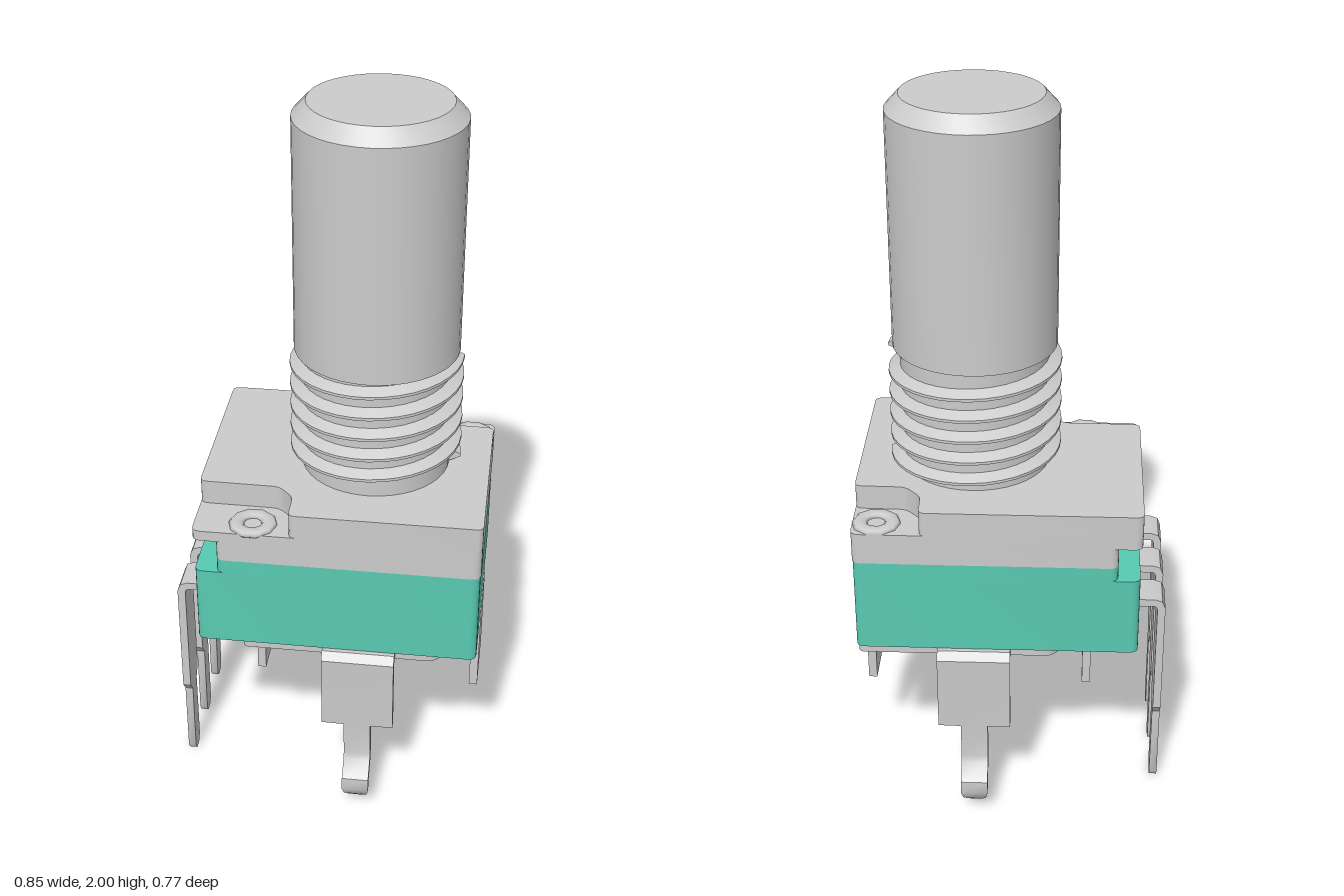
import * as THREE from 'three';
import { toCreasedNormals } from 'three/addons/utils/BufferGeometryUtils.js';

const metal = new THREE.MeshStandardMaterial({ color: 0xcccccc });
const green = new THREE.MeshStandardMaterial({ color: 0x58cab2 });
const V = (x, y, z) => new THREE.Vector3(x, y, z);

// Horizontal slab from an [x, z] outline with rounded corners
function slab(points, y0, y1, r = 0.025) {
  const pts = points.map(([x, z]) => new THREE.Vector2(x, -z));
  const shape = new THREE.Shape();
  const n = pts.length;
  const toward = (p, q) => q.clone().sub(p).setLength(r).add(p);
  pts.forEach((p, i) => {
    const a = toward(p, pts[(i + n - 1) % n]);
    const b = toward(p, pts[(i + 1) % n]);
    if (i === 0) shape.moveTo(a.x, a.y);
    else shape.lineTo(a.x, a.y);
    shape.quadraticCurveTo(p.x, p.y, b.x, b.y);
  });
  shape.closePath();
  const g = new THREE.ExtrudeGeometry(shape, { depth: y1 - y0, bevelEnabled: false, curveSegments: 5 });
  g.rotateX(-Math.PI / 2).translate(0, y0, 0);
  return toCreasedNormals(g, 0.6);
}

const rect = (x0, x1, z) => [[x0, z], [x1, z], [x1, -z], [x0, -z]];

// Solid through a row of four-cornered rings, capped at both ends
function loft(rings) {
  const index = [];
  for (let i = 0; i < rings.length - 1; i++) {
    for (let k = 0; k < 4; k++) {
      const a = i * 4 + k, b = i * 4 + (k + 1) % 4;
      index.push(a, b, b + 4, a, b + 4, a + 4);
    }
  }
  const e = (rings.length - 1) * 4;
  index.push(0, 2, 1, 0, 3, 2, e, e + 1, e + 2, e, e + 2, e + 3);
  const g = new THREE.BufferGeometry().setFromPoints(rings.flat());
  g.setIndex(index);
  return toCreasedNormals(g, 0.6);
}

// Bent sheet strip: path of [outward, y, width]
function strip(path, t) {
  const pt = (i) => new THREE.Vector2(path[i][0], path[i][1]);
  const last = path.length - 1;
  return loft(path.map(([u, y, w], i) => {
    const d1 = pt(Math.max(i, 1)).sub(pt(Math.max(i, 1) - 1)).normalize();
    const j = Math.min(i, last - 1);
    const d2 = pt(j + 1).sub(pt(j)).normalize();
    const d = d1.clone().add(d2).normalize();
    const h = t / 2 / Math.max(0.6, d.dot(d1));
    const nx = -d.y * h, ny = d.x * h;
    return [[1, 1], [-1, 1], [-1, -1], [1, -1]].map(([s, q]) => V(u + s * nx, y + s * ny, q * w / 2));
  }));
}

// Helical ridge around the threaded neck
function helix(y0, pitch, turns, root, crest) {
  const steps = turns * 36, rings = [];
  for (let i = 0; i <= steps; i++) {
    const a = (i / 36) * Math.PI * 2, y = y0 + (pitch * i) / 36;
    const p = (r, dy) => V(r * Math.cos(a), y + dy, -r * Math.sin(a));
    rings.push([p(root, -0.021), p(root, 0.021), p(crest, 0.004), p(crest, -0.004)]);
  }
  return loft(rings);
}

export function createModel() {
  const model = new THREE.Group();
  const add = (name, geometry, material = metal, x = 0, y = 0, z = 0) => {
    const m = new THREE.Mesh(geometry, material);
    m.name = name;
    m.position.set(x, y, z);
    model.add(m);
    return m;
  };

  // Housing, stepped in above the pins
  add('housing', slab(rect(-0.35, 0.42, 0.325), 0.54, 0.77), green);
  add('housingStep', slab(rect(-0.29, 0.42, 0.325), 0.77, 0.81), green);

  // Metal cover with two sunken rivet corners
  add('coverSkirt', slab(rect(-0.29, 0.422, 0.325), 0.81, 0.87));
  add('coverFlange', slab(rect(-0.353, 0.422, 0.325), 0.87, 0.9));
  add('coverTop', slab([
    [-0.353, -0.325], [0.24, -0.325], [0.24, -0.24], [0.285, -0.192], [0.422, -0.19],
    [0.422, 0.325], [-0.092, 0.325], [-0.092, 0.235], [-0.135, 0.19], [-0.353, 0.188],
  ], 0.9, 0.97, 0.02));

  // Bottom plate with two clipped corners
  add('bottomPlate', slab([
    [-0.225, 0.315], [0.3, 0.315], [0.415, 0.2], [0.415, -0.315], [-0.11, -0.315], [-0.225, -0.2],
  ], 0.515, 0.54, 0.015));

  // Rivets through opposite corners
  for (const [x, z, xb] of [[0.358, -0.262, 0.35], [-0.195, 0.27, -0.172]]) {
    const ring = new THREE.TorusGeometry(0.045, 0.021, 8, 10);
    ring.rotateX(Math.PI / 2).scale(1, 0.5, 1);
    add('rivetRing', ring, metal, x, 0.9, z);
    add('rivetFoot', new THREE.CylinderGeometry(0.055, 0.045, 0.016, 16), metal, xb, 0.508, z * 0.92);
  }

  // Shaft and threaded neck
  const profile = [[0, 0.96], [0.203, 0.96], [0.203, 1.32], [0.222, 1.32], [0.222, 1.96], [0.185, 2], [0, 2]];
  const shaft = new THREE.LatheGeometry(profile.map(([r, y]) => new THREE.Vector2(r, y)), 40);
  add('shaft', toCreasedNormals(shaft, 0.5), metal, 0.105);
  add('thread', helix(0.99, 0.0625, 5, 0.198, 0.234), metal, 0.105);

  // Hooked mounting clips, front and back
  const clip = strip([
    [0.29, 0.527, 0.2], [0.33, 0.527, 0.2], [0.342, 0.512, 0.2], [0.334, 0.29, 0.2], [0.334, 0.289, 0.075],
    [0.328, 0.18, 0.075], [0.335, 0.155, 0.075], [0.374, 0.115, 0.075], [0.376, 0.085, 0.075],
    [0.362, 0.06, 0.065], [0.35, 0.046, 0.04],
  ], 0.022);
  for (const s of [1, -1]) {
    add(s > 0 ? 'frontClip' : 'backClip', clip, metal, 0.098).rotation.y = -s * Math.PI / 2;
  }

  // Flat support legs
  for (const x of [0.41, -0.213]) {
    add('supportLeg', new THREE.BoxGeometry(0.024, 0.265, 0.205), metal, x, 0.4025, 0);
  }

  // Three bent terminal pins
  const pin = strip([
    [0.33, 0.634, 0.1], [0.395, 0.634, 0.1], [0.409, 0.629, 0.1], [0.415, 0.614, 0.1],
    [0.415, 0.275, 0.1], [0.415, 0.245, 0.055], [0.415, 0.025, 0.055], [0.415, 0.005, 0.03],
  ], 0.022);
  for (const z of [-0.173, -0.003, 0.17]) {
    add('terminalPin', pin, metal, 0, 0, z).rotation.y = Math.PI;
  }
  return model;
}
